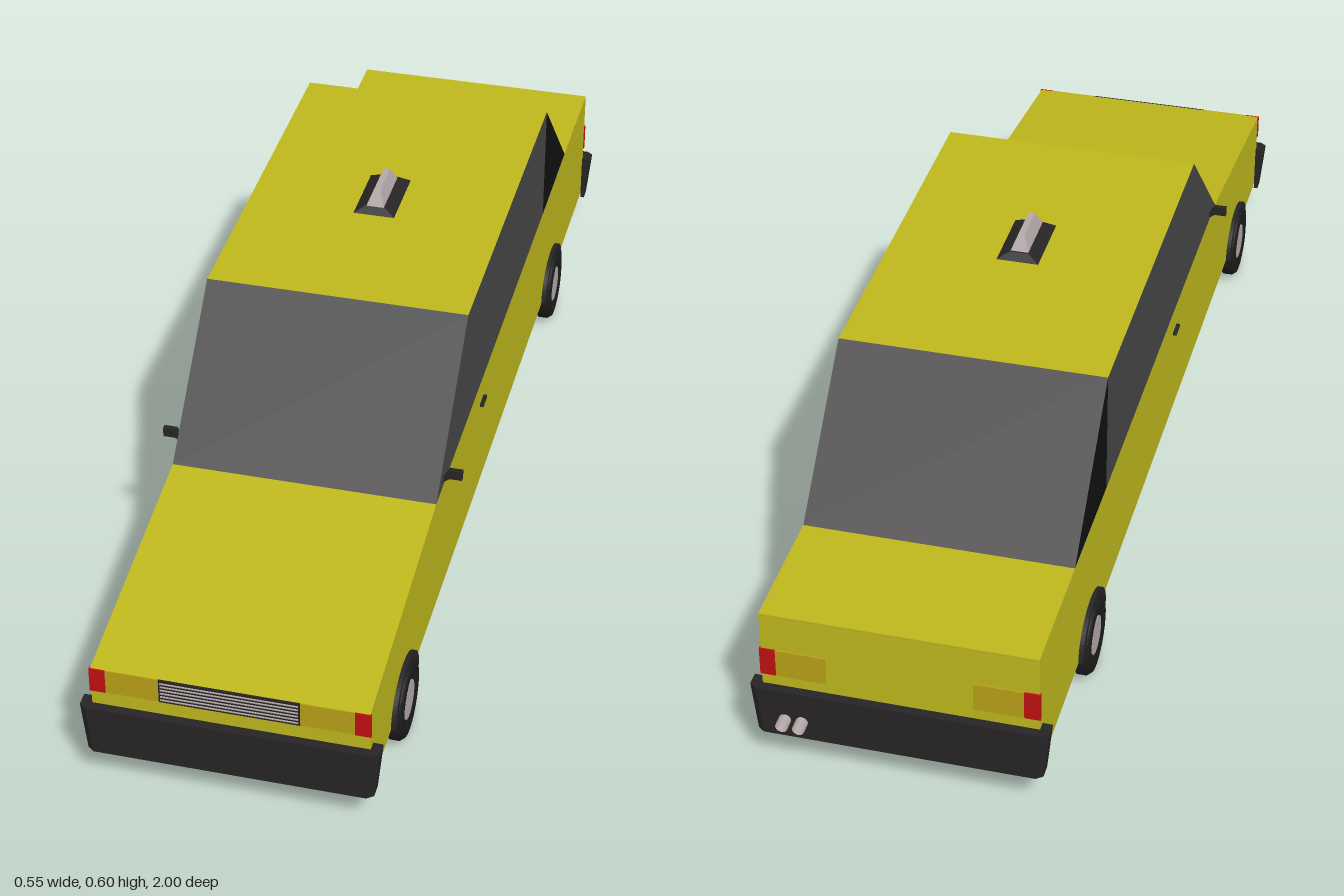
import * as THREE from 'three';

const W = 0.243; // half width of the body

const mat = (color, flat = true) => new THREE.MeshStandardMaterial({ color, flatShading: flat, side: THREE.DoubleSide });
const yellow = mat(0xbdb71c), glass = mat(0x484646), black = mat(0x262424), darkGlass = mat(0x101010);
const red = mat(0xc01010), amber = mat(0xb8a018), silver = mat(0xb4a8a8), rubber = mat(0x1c1c1c, false);

export function createModel() {
  const car = new THREE.Group();

  const add = (name, geometry, material, x = 0, y = 0, z = 0, parent = car) => {
    const mesh = new THREE.Mesh(geometry, material);
    mesh.name = name;
    mesh.position.set(x, y, z);
    parent.add(mesh);
    return mesh;
  };
  const box = (name, material, w, h, d, x, y, z) => add(name, new THREE.BoxGeometry(w, h, d), material, x, y, z);

  // Flat convex panel from its corners
  const panel = (name, material, corners) => {
    const pos = [];
    for (let i = 1; i < corners.length - 1; i++) pos.push(...corners[0], ...corners[i], ...corners[i + 1]);
    const g = new THREE.BufferGeometry();
    g.setAttribute('position', new THREE.Float32BufferAttribute(pos, 3));
    g.computeVertexNormals();
    return add(name, g, material);
  };

  // Box whose top and bottom have different widths and depths
  const taperedBox = (wBottom, dBottom, wTop, dTop, h) => {
    const g = new THREE.BoxGeometry(1, h, 1), p = g.attributes.position;
    for (let i = 0; i < p.count; i++) {
      const top = p.getY(i) > 0;
      p.setX(i, p.getX(i) * (top ? wTop : wBottom));
      p.setZ(i, p.getZ(i) * (top ? dTop : dBottom));
    }
    g.computeVertexNormals();
    return g;
  };

  // Hollow shell, open underneath: panels across the car along its [z, y] outline
  const outline = [[0.98, 0.08], [0.98, 0.245], [0.495, 0.315], [0.25, 0.557], [-0.48, 0.557], [-0.715, 0.32], [-0.96, 0.32], [-0.96, 0.08]];
  const panels = [['frontPanel', yellow], ['hood', yellow], ['windshield', glass], ['roof', yellow],
    ['rearWindow', glass], ['trunkLid', yellow], ['rearPanel', yellow]];
  panels.forEach(([name, m], i) => {
    const [z0, y0] = outline[i], [z1, y1] = outline[i + 1];
    panel(name, m, [[-W, y0, z0], [W, y0, z0], [W, y1, z1], [-W, y1, z1]]);
  });

  for (const s of [1, -1]) {
    // Side walls and windows, wound to face outward
    const sidePanel = (name, m, pts) => {
      const c = pts.map(([z, y]) => [s * W, y, z]);
      panel(name, m, s > 0 ? c : c.reverse());
    };
    sidePanel('bodySide', yellow, [[0.98, 0.08], [-0.96, 0.08], [-0.96, 0.32], [-0.48, 0.317], [0.495, 0.315], [0.98, 0.245]]);
    sidePanel('sideWindow', glass, [[0.495, 0.315], [-0.48, 0.317], [-0.48, 0.557], [0.25, 0.557]]);
    sidePanel('rearQuarterWindow', darkGlass, [[-0.48, 0.317], [-0.715, 0.32], [-0.48, 0.557]]);

    // Door handle
    box('doorHandle', black, 0.008, 0.005, 0.034, s * 0.246, 0.266, 0.107);

    // Wing mirror with its slanted arm
    const mirror = new THREE.Shape([[0.241, 0.328], [0.241, 0.322], [0.255, 0.332], [0.277, 0.332], [0.277, 0.35], [0.253, 0.35]]
      .map(([x, y]) => new THREE.Vector2(s * x, y)));
    add('wingMirror', new THREE.ExtrudeGeometry(mirror, { depth: 0.01, bevelEnabled: false }), black, 0, 0, 0.43);

    // Corner lamps, front and rear
    box('frontCornerLamp', red, 0.028, 0.048, 0.006, s * 0.231, 0.221, 0.98);
    box('frontLamp', amber, 0.094, 0.048, 0.004, s * 0.17, 0.221, 0.98);
    box('tailLamp', red, 0.028, 0.055, 0.006, s * 0.231, 0.218, -0.96);
    box('reverseLamp', amber, 0.088, 0.055, 0.006, s * 0.173, 0.218, -0.96);

    // Wheels and arches
    for (const z of [0.743, -0.594]) {
      const wheel = new THREE.Group();
      wheel.name = 'wheel';
      wheel.position.set(s * 0.24, 0.074, z);
      wheel.rotation.z = -s * Math.PI / 2;
      car.add(wheel);
      const profile = [[0, -0.018], [0.055, -0.018], [0.068, -0.016], [0.074, -0.008], [0.074, 0.008],
        [0.068, 0.016], [0.055, 0.018], [0.037, 0.013], [0, 0.011]].map(([r, h]) => new THREE.Vector2(r, h));
      add('tyre', new THREE.LatheGeometry(profile, 28), rubber, 0, 0, 0, wheel);
      add('hub', new THREE.CylinderGeometry(0.036, 0.036, 0.006, 24), silver, 0, 0.012, 0, wheel);

      const arch = new THREE.Shape();
      arch.absellipse(0, 0, 0.09, 0.075, 0, Math.PI, false);
      arch.absellipse(0, 0, 0.066, 0.066, Math.PI, 0, true);
      const g = new THREE.ExtrudeGeometry(arch, { depth: 0.012, bevelEnabled: false, curveSegments: 16 });
      g.rotateY(Math.PI / 2);
      add('wheelArch', g, black, s * 0.245 - 0.006, 0.08, z);
    }
  }

  // Grille with slats
  box('grille', black, 0.246, 0.048, 0.006, 0, 0.221, 0.98);
  for (let i = 0; i < 6; i++) box('grilleSlat', silver, 0.24, 0.002, 0.004, 0, 0.203 + i * 0.0072, 0.983);

  // Bumpers: a flared plate with ends wrapped back around the corners
  for (const [name, z, s] of [['frontBumper', 0.98, 1], ['rearBumper', -0.96, -1]]) {
    const plan = new THREE.Shape([[-0.262, -0.015], [-0.262, 0.01], [-0.25, 0.019], [0.25, 0.019], [0.262, 0.01],
      [0.262, -0.015], [0.244, -0.015], [0.244, 0.002], [-0.244, 0.002], [-0.244, -0.015]]
      .map(([x, d]) => new THREE.Vector2(x, d)));
    const g = new THREE.ExtrudeGeometry(plan, { depth: 0.097, bevelEnabled: false });
    g.rotateX(Math.PI / 2);
    const p = g.attributes.position;
    for (let i = 0; i < p.count; i++) {
      const x = p.getX(i);
      if (p.getY(i) < -0.05 && Math.abs(x) > 0.245) p.setX(i, x - Math.sign(x) * 0.01);
    }
    g.computeVertexNormals();
    add(name, g, black, 0, 0.17, z).rotation.y = s > 0 ? 0 : Math.PI;
  }

  // Twin exhaust tips
  for (const x of [0.17, 0.2]) {
    const g = new THREE.CylinderGeometry(0.011, 0.011, 0.04, 14, 1, true);
    g.rotateX(Math.PI / 2);
    add('exhaustTip', g, silver, x, 0.11, -0.98);
  }

  // Roof sign on its base
  add('roofSignBase', taperedBox(0.08, 0.138, 0.036, 0.112, 0.013), black, 0, 0.563, -0.098);
  add('roofSign', taperedBox(0.034, 0.11, 0.012, 0.076, 0.028), silver, 0, 0.583, -0.096);

  return car;
}
